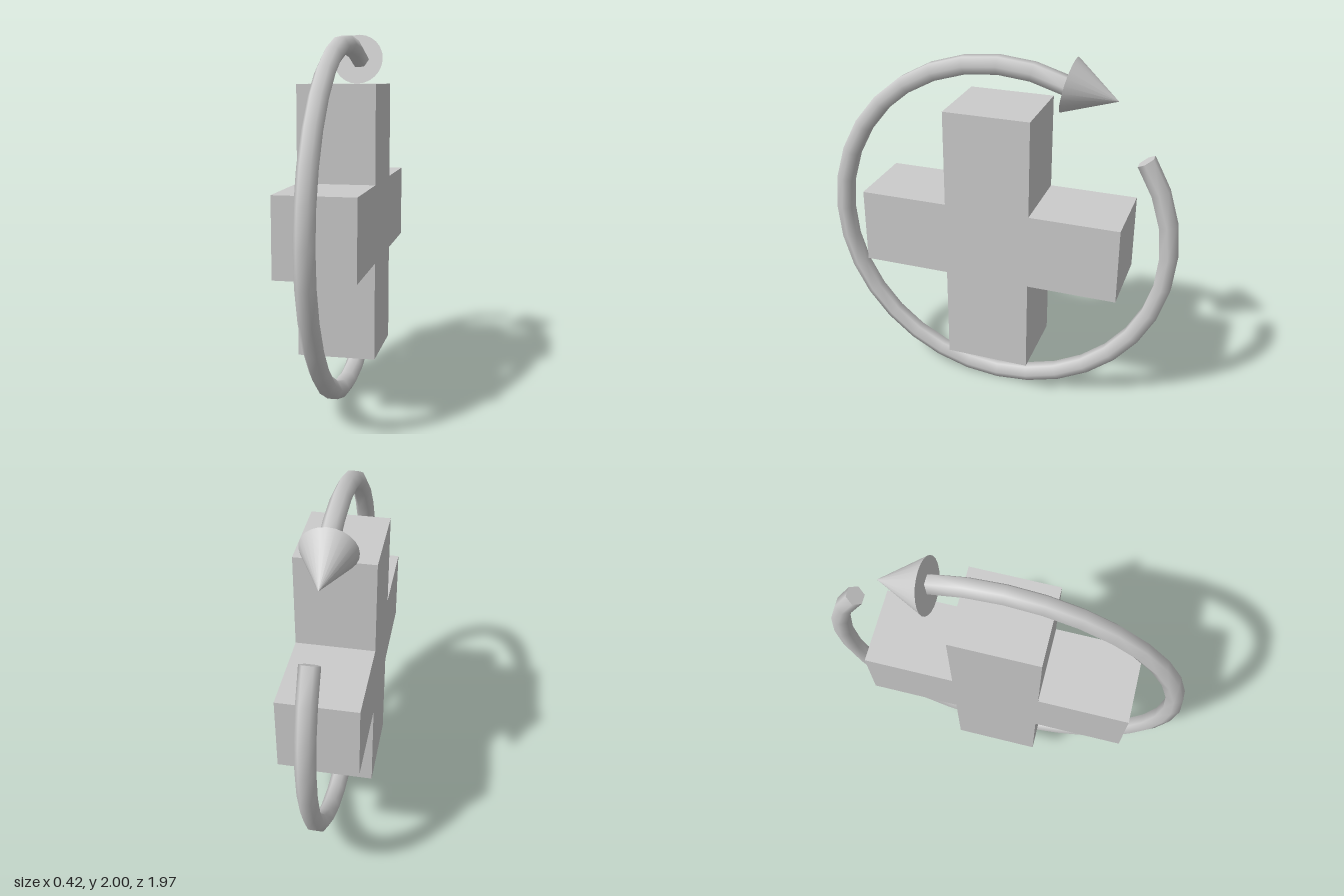
import * as THREE from 'three';
import { mergeVertices } from 'three/addons/utils/BufferGeometryUtils.js';

const RING_RADIUS = 0.94, TUBE_RADIUS = 0.053, CENTRE_Y = 0.99;
const rad = THREE.MathUtils.degToRad;

export function createModel() {
  const model = new THREE.Group();
  const grey = new THREE.MeshStandardMaterial({ color: 0xcccccc });
  const capGrey = new THREE.MeshStandardMaterial({ color: 0xcccccc, side: THREE.DoubleSide });
  const add = (parent, name, geometry, material = grey) => {
    const mesh = new THREE.Mesh(geometry, material);
    mesh.name = name;
    parent.add(mesh);
    return mesh;
  };

  // Thick plus-shaped block, its broad faces turned to the sides
  const w = 0.232, arm = 0.713, y0 = 0.26, y1 = 0.785, y2 = 1.2, y3 = 1.72;
  const outline = [
    [-w, y0], [w, y0], [w, y1], [arm, y1], [arm, y2], [w, y2],
    [w, y3], [-w, y3], [-w, y2], [-arm, y2], [-arm, y1], [-w, y1],
  ].map(([x, y]) => new THREE.Vector2(x, y));
  const crossGeometry = new THREE.ExtrudeGeometry(new THREE.Shape(outline), { depth: 0.42, bevelEnabled: false });
  crossGeometry.translate(0, 0, -0.21).rotateY(Math.PI / 2);
  add(model, 'cross', crossGeometry);

  // Open ring: a hexagonal section swept round the cross, with smooth normals
  const arrow = new THREE.Group();
  arrow.name = 'ringArrow';
  arrow.position.set(0.012, CENTRE_Y, 0);
  arrow.rotation.z = -Math.PI / 2;
  model.add(arrow);

  const section = [];
  for (let i = 0; i <= 6; i++) {
    const a = rad(90 + 60 * i);
    section.push(new THREE.Vector2(RING_RADIUS + TUBE_RADIUS * Math.cos(a), TUBE_RADIUS * Math.sin(a)));
  }
  const start = rad(247.5), sweep = rad(326.25);
  let ringGeometry = new THREE.LatheGeometry(section, 29, start, sweep);
  ringGeometry.deleteAttribute('uv');
  ringGeometry.deleteAttribute('normal');
  ringGeometry = mergeVertices(ringGeometry, 1e-5);
  ringGeometry.computeVertexNormals();
  add(arrow, 'ring', ringGeometry);

  // Flat caps on both ends of the ring
  for (const [name, phi] of [['headEndCap', start], ['tailEndCap', start + sweep]]) {
    const cap = add(arrow, name, new THREE.CircleGeometry(TUBE_RADIUS, 6, Math.PI / 2), capGrey);
    cap.position.set(RING_RADIUS * Math.sin(phi), 0, RING_RADIUS * Math.cos(phi));
    cap.rotation.y = phi - Math.PI / 2;
  }

  // Cone arrowhead pointing back and slightly down
  const height = 0.26, tilt = rad(13);
  const head = add(model, 'arrowHead', new THREE.ConeGeometry(0.144, height, 24));
  head.rotation.x = -(Math.PI / 2 + tilt);
  head.position.set(0, 1.86 - Math.sin(tilt) * height / 2, -0.368 - Math.cos(tilt) * height / 2);

  return model;
}
